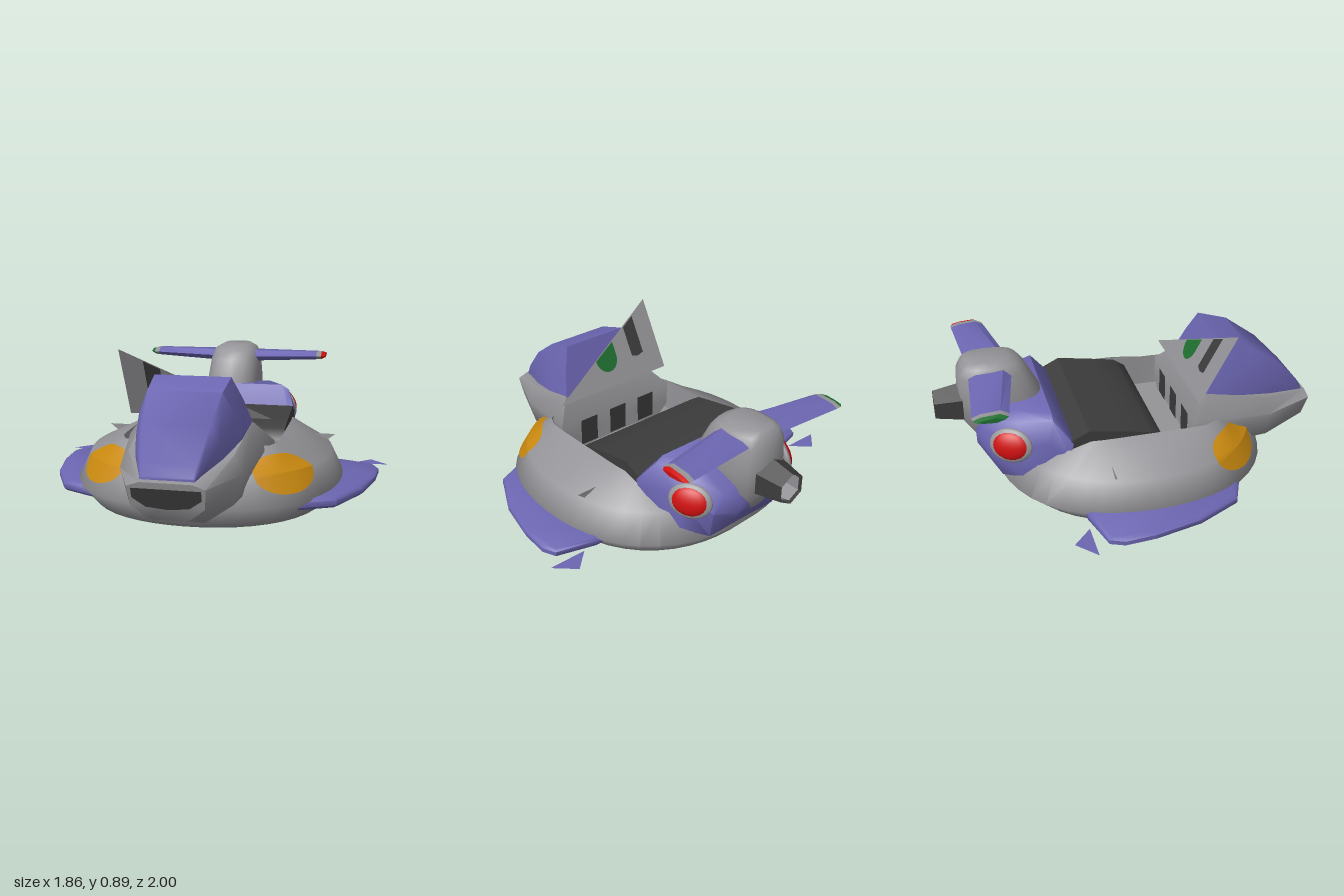
import * as THREE from 'three';
import { toCreasedNormals } from 'three/addons/utils/BufferGeometryUtils.js';

const mat = (name, color, side = THREE.FrontSide) => {
  const m = new THREE.MeshStandardMaterial({ color, side });
  m.name = name;
  return m;
};

// Skin a list of closed loops of [x,y,z]; faces are turned outward by signed volume.
function loft(loops, capA = true, capB = true, crease = 0.6) {
  const tris = [], n = loops[0].length;
  for (let k = 0; k + 1 < loops.length; k++) {
    for (let i = 0; i < n; i++) {
      const j = (i + 1) % n, A = loops[k], B = loops[k + 1];
      tris.push([A[i], A[j], B[j]], [A[i], B[j], B[i]]);
    }
  }
  const cap = (L, flip) => {
    const c = [0, 1, 2].map(a => L.reduce((s, p) => s + p[a], 0) / n);
    L.forEach((p, i) => {
      const q = L[(i + 1) % n];
      tris.push(flip ? [c, q, p] : [c, p, q]);
    });
  };
  if (capA) cap(loops[0], true);
  if (capB) cap(loops[loops.length - 1], false);
  const o = new THREE.Vector3(...loops[0][0]);
  let vol = 0;
  for (const t of tris) {
    const [a, b, c] = t.map(p => new THREE.Vector3(...p).sub(o));
    vol += a.dot(b.cross(c));
  }
  if (vol < 0) tris.forEach(t => t.reverse());
  const g = new THREE.BufferGeometry();
  g.setAttribute('position', new THREE.Float32BufferAttribute(tris.flat(2), 3));
  return toCreasedNormals(g, crease);
}

// Half section (top to bottom) mirrored into a full loop.
const mirrored = half => [...half, ...half.map(([x, y, z]) => [-x, y, z]).reverse()];
const shapeOf = pts => new THREE.Shape(pts.map(p => new THREE.Vector2(...p)));

// Flat sheet drawn in x/y and leaned so that z = z0 + (y - y0) * slope.
function leaningSheet(shape, z0, y0, slope) {
  const g = new THREE.ShapeGeometry(shape, 16), p = g.attributes.position;
  for (let i = 0; i < p.count; i++) p.setZ(i, z0 + (p.getY(i) - y0) * slope);
  g.computeVertexNormals();
  return g;
}

// Hull surface: rings [radius, y, z shift, diagonal bulge] that turn into the square cockpit rim.
const RINGS = [[0.35, 0.012, 0.03, 0], [0.63, 0.07, 0.01, 0.03], [0.715, 0.18, 0, 0.05], [0.65, 0.32, 0, 0.03]];
const rim = (a, y) => {
  const s = 0.4 / Math.pow(Math.abs(Math.sin(a)) ** 8 + Math.abs(Math.cos(a)) ** 8, 1 / 8);
  return [s * Math.sin(a), y, 0.03 + s * Math.cos(a)];
};
function hullRing(k, a) {
  if (k > 3) return rim(a, 0.43);
  const [radius, y, shift, bulge] = RINGS[k], r = radius * (1 + bulge * Math.sin(2 * a) ** 2);
  return [r * 0.98 * Math.sin(a), y, shift + r * Math.cos(a)];
}
function hullPoint(a, v) {
  const k = Math.min(3, Math.floor(v)), A = hullRing(k, a), B = hullRing(k + 1, a);
  return A.map((c, i) => c + (B[i] - c) * (v - k));
}
const around = (n, f) => Array.from({ length: n }, (_, i) => f(i / n * Math.PI * 2));

export function createModel() {
  const root = new THREE.Group();
  root.name = 'hoverCraft';
  const gray = mat('hullGray', 0x949498), purple = mat('violet', 0x6c66b2), dark = mat('charcoal', 0x3c3c3c, THREE.DoubleSide);
  const gold = mat('amber', 0xc8880f), red = mat('red', 0xd01010), green = mat('green', 0x1f7030, THREE.DoubleSide);
  const brown = mat('brown', 0x8c5032, THREE.DoubleSide);
  const grayThin = mat('hullGrayThin', 0x949498, THREE.DoubleSide), purpleThin = mat('violetThin', 0x6c66b2, THREE.DoubleSide);
  const add = (name, geo, m) => {
    const mesh = new THREE.Mesh(geo, m);
    mesh.name = name;
    root.add(mesh);
    return mesh;
  };

  // Hull and cockpit
  add('hull', loft([0, 1, 2, 3, 4].map(k => around(48, a => hullRing(k, a))), false, false, 1.3), gray);
  add('cockpitTub', loft([0.43, 0.25].map(y => around(48, a => rim(a, y))), false, true), grayThin);
  const cover = new THREE.ExtrudeGeometry(shapeOf([[-0.37, 0.27], [0.125, 0.27], [0.125, 0.34], [0.105, 0.39],
    [0.04, 0.435], [-0.1, 0.46], [-0.28, 0.49], [-0.37, 0.445]]), { depth: 0.79, bevelEnabled: false });
  cover.rotateY(-Math.PI / 2).translate(0.395, 0, 0);
  add('seatCover', toCreasedNormals(cover, 0.6), dark);

  // Underside lift ring with a recess
  add('liftRing', new THREE.RingGeometry(0.26, 0.37, 10).rotateX(Math.PI / 2).translate(0, 0, 0.03), gold);
  add('liftRim', new THREE.CylinderGeometry(0.37, 0.37, 0.02, 10, 1, true).translate(0, 0.01, 0.03), gold);
  add('liftRecess', new THREE.CylinderGeometry(0.23, 0.26, 0.05, 10, 1, true).translate(0, 0.025, 0.03), brown);
  add('liftPlate', new THREE.CircleGeometry(0.24, 10).rotateX(Math.PI / 2).translate(0, 0.048, 0.03), gold);

  // Nose with dashboard at its back and air intake at its front
  const backZ = y => 0.285 + Math.max(0, y - 0.43) * 0.8, tipZ = y => 1 + (Math.min(y, 0.37) - 0.37) * 0.31;
  add('nose', loft([
    mirrored([[0.28, 0.54], [0.375, 0.43], [0.37, 0.3], [0.22, 0.16]].map(([x, y]) => [x, y, backZ(y)])),
    mirrored([[0.25, 0.455, 0.72], [0.295, 0.37, 0.72], [0.255, 0.225, 0.73], [0.12, 0.13, 0.74]]),
    mirrored([[0.12, 0.39], [0.18, 0.37], [0.17, 0.27], [0.09, 0.205]].map(([x, y]) => [x, y, tipZ(y)])),
  ], true, true, 0.95), gray);
  add('noseIntake', leaningSheet(shapeOf([[-0.16, 0.362], [-0.16, 0.315], [-0.1, 0.27], [0, 0.26], [0.1, 0.27],
    [0.16, 0.315], [0.16, 0.362]]), 1.004, 0.37, 0.31), dark);
  for (const x of [-0.2, 0, 0.2]) {
    add('dashStripe', leaningSheet(shapeOf([[x - 0.055, 0.27], [x + 0.055, 0.27], [x + 0.055, 0.42], [x - 0.055, 0.42]]),
      0.278, 0.4, 0), dark);
  }

  // Hood over the nose
  add('hood', loft([
    mirrored([[0.19, 0.775, 0.47], [0.24, 0.66, 0.42], [0.28, 0.535, 0.37]]),
    mirrored([[0.18, 0.73, 0.63], [0.235, 0.61, 0.59], [0.265, 0.485, 0.55]]),
    mirrored([[0.16, 0.61, 0.8], [0.195, 0.52, 0.78], [0.21, 0.44, 0.75]]),
    mirrored([[0.13, 0.465, 0.94], [0.14, 0.43, 0.94], [0.14, 0.4, 0.93]]),
    mirrored([[0.12, 0.41, 0.975], [0.125, 0.405, 0.975], [0.125, 0.39, 0.975]]),
  ], true, true, 1.15), purple);

  // Triangular display screen behind the hood
  const lean = [0.54, 0.53];
  add('screen', leaningSheet(shapeOf([[-0.365, 0.54], [0.365, 0.54], [-0.365, 0.895]]), 0.3, ...lean), grayThin);
  for (const z of [0.296, 0.304]) {
    add('screenBar', leaningSheet(shapeOf([[-0.25, 0.65], [-0.21, 0.64], [-0.17, 0.65], [-0.17, 0.795], [-0.25, 0.835]]), z, ...lean), dark);
  }
  const dial = shapeOf([[0.07, 0.682], [-0.07, 0.748]]);
  dial.absellipse(0, 0.682, 0.07, 0.068, Math.PI, Math.PI * 2);
  add('screenDial', leaningSheet(dial, 0.296, ...lean), green);

  // Rear cowl
  add('rearCowl', loft([
    [[0.36, 0.45, -0.36], [0.4, 0.43, -0.36], [0.4, 0.36, -0.38], [0.38, 0.28, -0.4]],
    [[0.31, 0.575, -0.45], [0.35, 0.55, -0.45], [0.385, 0.44, -0.48], [0.385, 0.28, -0.52]],
    [[0.22, 0.565, -0.62], [0.29, 0.53, -0.62], [0.35, 0.42, -0.62], [0.34, 0.24, -0.61]],
    [[0.14, 0.49, -0.78], [0.2, 0.46, -0.77], [0.26, 0.37, -0.76], [0.22, 0.19, -0.7]],
    [[0.1, 0.42, -0.81], [0.13, 0.4, -0.81], [0.15, 0.36, -0.81], [0.14, 0.3, -0.78]],
  ].map(mirrored), true, true, 0.9), purple);

  // Tail pod: rounded rings [y, front z, back z, half width]
  add('tailPod', loft([[0.32, -0.6, -0.79, 0.08], [0.45, -0.45, -0.87, 0.15], [0.57, -0.45, -0.88, 0.155],
    [0.7, -0.52, -0.875, 0.14], [0.75, -0.56, -0.85, 0.12], [0.772, -0.61, -0.83, 0.08]].map(([y, f, b, w]) =>
    around(16, a => {
      const soft = t => Math.sign(t) * Math.pow(Math.abs(t), 0.7);
      return [w * soft(Math.sin(a)), y, (f + b) / 2 + (f - b) / 2 * soft(Math.cos(a))];
    })), true, true, 0.9), gray);

  // Hexagonal exhaust
  for (const [name, s, m] of [['exhaust', 1, dark], ['exhaustLiner', 0.82, grayThin]]) {
    const g = new THREE.CylinderGeometry(0.082 * s, 0.11 * s, 0.14, 6, 1, true).toNonIndexed();
    g.computeVertexNormals();
    add(name, g.rotateX(-Math.PI / 2).translate(0, 0.525, s < 1 ? -0.92 : -0.93), m);
  }

  for (const s of [1, -1]) {
    const side = s > 0 ? 'left' : 'right';

    // Side fin, thinning toward its tip, and its trailing flap
    const fin = new THREE.ExtrudeGeometry(shapeOf([[0.45, -0.33], [0.64, -0.335], [0.84, -0.28], [0.865, -0.22], [0.855, -0.07],
      [0.8, 0.17], [0.69, 0.39], [0.52, 0.465], [0.4, 0.44]].map(([x, z]) => [x * s, z])),
    { depth: 0.03, bevelThickness: 0.015, bevelSize: 0.015, bevelSegments: 1 });
    fin.rotateX(Math.PI / 2).translate(0, 0.015, 0);
    const f = fin.attributes.position;
    for (let i = 0; i < f.count; i++) f.setY(i, 0.16 + f.getY(i) * (1 - Math.max(0, Math.abs(f.getX(i)) - 0.5) * 0.7));
    add(side + 'Fin', toCreasedNormals(fin, 0.9), purple);
    add(side + 'FinFlap', new THREE.ShapeGeometry(shapeOf([[0.73 * s, -0.36], [0.93 * s, -0.36], [0.83 * s, -0.455]]))
      .rotateX(Math.PI / 2).translate(0, 0.16, 0), purpleThin);
    add(side + 'Vane', new THREE.ShapeGeometry(shapeOf([[0.5 * s, 0.36], [0.64 * s, 0.36], [0.58 * s, 0.31]]))
      .translate(0, 0, -0.2), grayThin);

    // Amber light laid onto the hull surface
    const light = new THREE.RingGeometry(0.001, 1, 32, 8), p = light.attributes.position;
    for (let i = 0; i < p.count; i++) {
      const [x, y, z] = hullPoint(s * 0.78 + p.getX(i) * 0.27, 3 + p.getY(i) * 0.67);
      p.setXYZ(i, x * 1.012, y + 0.005, z * 1.012);
    }
    light.computeVertexNormals();
    add(side + 'Light', light, gold);

    // Rear lamp with bezel
    for (const [name, r, t, m] of [['LampBezel', 0.112, 0.028, gray], ['Lamp', 0.098, 0.04, red]]) {
      const lamp = add(side + name, new THREE.SphereGeometry(1, 20, 12), m);
      lamp.scale.set(r, r * 0.8, t);
      lamp.position.set(0.32 * s, 0.425, -0.66);
      lamp.lookAt(1.18 * s, 0.645, -1.12);
    }

    // Tail wing in three bands, with a coloured tip
    const section = (x, f, b, t) => [[f, 0], [f - 0.04, t], [b + 0.04, t * 0.7], [b, 0], [b + 0.04, -t * 0.7], [f - 0.04, -t]]
      .map(([z, y]) => [x * s, 0.71 + y, z]);
    const base = section(0.07, -0.6, -0.82, 0.032), mid = section(0.48, -0.675, -0.85, 0.022);
    const out = section(0.508, -0.68, -0.85, 0.02), tip = section(0.53, -0.7, -0.835, 0.012);
    add(side + 'TailWing', loft([base, mid]), purple);
    add(side + 'TailWingBand', loft([mid, out]), gray);
    add(side + 'TailWingTip', loft([out, tip]), s > 0 ? red : green);
  }
  return root;
}
